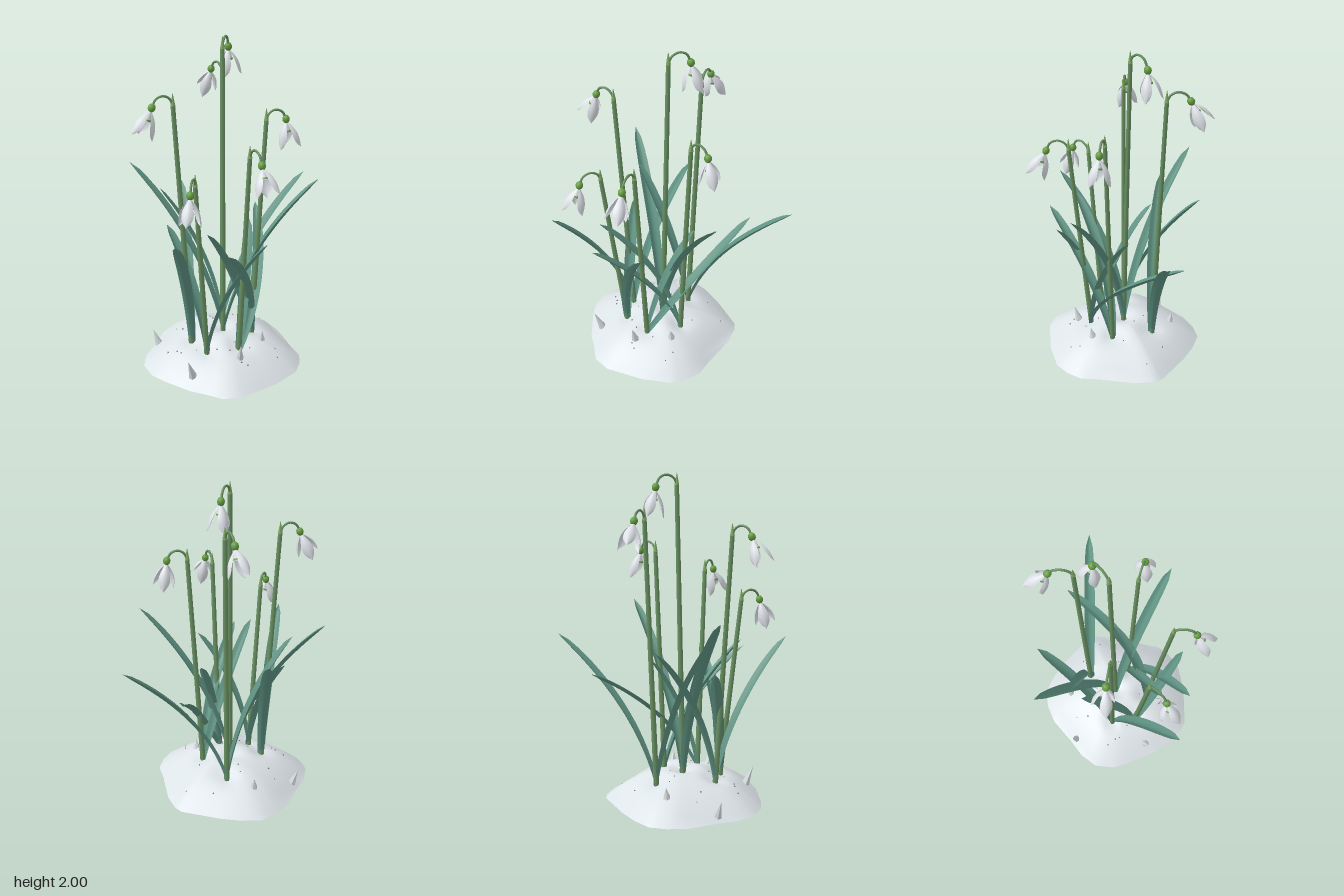
import * as THREE from 'three';

const V = (x, y, z) => new THREE.Vector3(x, y, z);
const material = (name, color, side = THREE.FrontSide) => {
  const m = new THREE.MeshStandardMaterial({ color, side });
  m.name = name;
  return m;
};

// ground outline (x, z)
const centre = [-0.07, 0.02];
const outline = [
  [0.01, -0.47], [0.12, -0.45], [0.21, -0.365], [0.29, -0.255], [0.41, -0.04], [0.41, 0.02], [0.37, 0.13],
  [0.245, 0.32], [0.19, 0.42], [0.11, 0.475], [0.01, 0.51], [-0.17, 0.49], [-0.4, 0.415], [-0.485, 0.335],
  [-0.515, 0.21], [-0.54, 0.13], [-0.556, -0.07], [-0.55, -0.17], [-0.5, -0.28], [-0.4, -0.35], [-0.28, -0.39],
  [-0.11, -0.46],
];

// base (x, z), stem tip, seed ball, flower tilt, flower turn, leaf tips with sideways bow
const plants = [
  { base: [-0.27, -0.08], tip: [-0.35, 1.72, -0.12], ball: [-0.457, 1.65, -0.18], tilt: 0.42, turn: 0.4,
    leaves: [[0.08, 1.03, -0.44, 0], [-0.71, 1.0, 0.185, 0]] },
  { base: [-0.3, 0.065], tip: [-0.42, 1.31, 0.09], ball: [-0.535, 1.235, 0.15], tilt: 0.3, turn: 1.0,
    leaves: [[-0.255, 0.87, -0.275, 0], [-0.17, 0.89, 0.41, 0.03]] },
  { base: [-0.16, 0.2], tip: [-0.2, 1.46, 0.3], ball: [-0.256, 1.385, 0.42], tilt: 0.45, turn: 0.2,
    leaves: [[0.13, 0.87, 0.06, 0.02], [0.475, 0.83, -0.14, 0.1]] },
  { base: [-0.07, 0.01], tip: [-0.03, 2.0, -0.02], ball: [0.09, 1.92, -0.07], tilt: 0.15, turn: 0.7,
    leaves: [[-0.275, 1.22, -0.55, 0], [0.26, 1.18, 0.47, 0]] },
  { base: [0.09, -0.12], tip: [0.15, 1.81, -0.16], ball: [0.2, 1.745, -0.285], tilt: 0.5, turn: 1.0,
    leaves: [[-0.245, 1.09, -0.335, -0.02], [0.705, 1.03, 0.09, 0]] },
  { base: [0.05, 0.14], tip: [0.105, 1.59, 0.195], ball: [0.2, 1.52, 0.268], tilt: 0.15, turn: 0.3,
    leaves: [[-0.43, 0.98, 0.18, 0.04], [-0.455, 0.9, 0.35, -0.02]] },
];

// relative distance from the centre to the outline
function reach(x, z) {
  let s = 0;
  outline.forEach((a, i) => {
    const b = outline[(i + 1) % outline.length];
    const nx = b[1] - a[1], nz = a[0] - b[0];
    s = Math.max(s, (nx * (x - centre[0]) + nz * (z - centre[1])) / (nx * (a[0] - centre[0]) + nz * (a[1] - centre[1])));
  });
  return Math.min(s, 1);
}

// dome height with a soft hollow around each clump
function groundY(x, z) {
  const s = reach(x, z);
  let y = 0.195 * (1 - Math.pow(s, 2.1));
  for (const { base: [bx, bz] } of plants) {
    y -= 0.042 * (1 - s * s) * Math.exp(-((x - bx) ** 2 + (z - bz) ** 2) / 0.004);
  }
  return Math.max(0, y);
}

// indexed surface with smooth normals
function surface(pos, index) {
  const g = new THREE.BufferGeometry();
  g.setAttribute('position', new THREE.Float32BufferAttribute(pos, 3));
  g.setIndex(index);
  g.computeVertexNormals();
  return g;
}

// surface from a rule: point(u, v), u and v in 0..1
function loft(rows, cols, point) {
  const pos = [], index = [];
  for (let i = 0; i <= rows; i++) {
    for (let j = 0; j <= cols; j++) {
      pos.push(...point(i / rows, j / cols).toArray());
      if (i < rows && j < cols) {
        const a = i * (cols + 1) + j, b = a + cols + 1;
        index.push(a, b, a + 1, a + 1, b, b + 1);
      }
    }
  }
  return surface(pos, index);
}

// rings shrinking from the outline to the centre
function moundGeometry() {
  const rings = 14, n = outline.length * 2, pos = [], index = [];
  for (let r = 0; r <= rings; r++) {
    for (let k = 0; k < n; k++) {
      const a = outline[k >> 1], b = outline[((k >> 1) + 1) % outline.length], f = (k % 2) / 2, s = r / rings;
      const x = centre[0] + s * (a[0] + (b[0] - a[0]) * f - centre[0]);
      const z = centre[1] + s * (a[1] + (b[1] - a[1]) * f - centre[1]);
      pos.push(x, groundY(x, z), z);
      if (r < rings) {
        const p = r * n + k, q = r * n + (k + 1) % n;
        index.push(p, p + n, q, q, p + n, q + n);
      }
    }
  }
  return surface(pos, index);
}

// arching strap leaf with a channelled section
function leafGeometry(base, tip, bow) {
  const out = V(tip.x - base.x, 0, tip.z - base.z);
  const side = V(-out.z, 0, out.x).normalize();
  const control = base.clone().addScaledVector(out, 0.2).addScaledVector(side, bow * 1.5);
  control.y = base.y + (tip.y - base.y) * 0.56;
  const curve = new THREE.QuadraticBezierCurve3(base, control, tip);
  return loft(18, 4, (u, v) => {
    const w = (0.02 + 0.015 * Math.sin(Math.PI * Math.min(u * 0.75, 0.5))) * Math.sqrt(Math.max(0, 1 - Math.pow(u, 8)));
    const k = v * 2 - 1;
    const normal = side.clone().cross(curve.getTangent(u)).normalize();
    if (normal.y < 0) normal.negate();
    return curve.getPoint(u).addScaledVector(side, k * w).addScaledVector(normal, (Math.abs(k) - 0.4) * w * 0.65);
  });
}

export function createModel() {
  const model = new THREE.Group();
  const snow = material('snow', 0xdfe6ea, THREE.DoubleSide);
  const leafGreen = material('leaf green', 0x5f9383, THREE.DoubleSide);
  const stemGreen = material('stem green', 0x6a9263);
  const sheathGreen = material('sheath green', 0x82ab66);
  const seedGreen = material('seed green', 0x68a044);
  const petalWhite = material('petal white', 0xe6eaf0, THREE.DoubleSide);
  const iceGrey = material('ice grey', 0xd6dce0);
  iceGrey.flatShading = true;
  const speckGrey = material('speck grey', 0x7c8183);

  const add = (parent, name, geometry, mat, position) => {
    const mesh = new THREE.Mesh(geometry, mat);
    mesh.name = name;
    if (position) mesh.position.copy(position);
    parent.add(mesh);
    return mesh;
  };
  // tapered rod between two points
  const rod = (parent, name, a, b, r0, r1, mat, sides = 8) => {
    const geometry = new THREE.CylinderGeometry(r1, r0, a.distanceTo(b), sides);
    const mesh = add(parent, name, geometry, mat, a.clone().lerp(b, 0.5));
    mesh.quaternion.setFromUnitVectors(V(0, 1, 0), b.clone().sub(a).normalize());
  };

  add(model, 'snowMound', moundGeometry(), snow);

  // spoon-shaped petal hanging along -y
  const petal = loft(10, 6, (u, v) => {
    const k = v * 2 - 1, w = 0.004 + 0.03 * Math.pow(Math.sin(Math.PI * Math.pow(u, 1.4)), 0.8) * (u < 1 ? 1 : 0);
    return V(k * w, -0.175 * u + 0.008 * k * k * u, 0.02 * Math.sin(Math.PI * u) - 0.5 * w * k * k);
  });
  const innerCup = new THREE.CylinderGeometry(0.01, 0.022, 0.06, 10, 1, true);
  const cupRim = new THREE.CylinderGeometry(0.0205, 0.0235, 0.01, 10, 1, true);

  for (const p of plants) {
    const plant = new THREE.Group();
    plant.name = 'plant';
    model.add(plant);
    const [bx, bz] = p.base, ground = groundY(bx, bz);
    const foot = V(bx, ground - 0.02, bz), tip = V(...p.tip), ball = V(...p.ball);

    // stem, pointed sheath and nodding stalk
    const neck = tip.clone().setY(tip.y - 0.07);
    rod(plant, 'stem', foot, neck, 0.017, 0.013, stemGreen);
    rod(plant, 'sheath', neck, tip, 0.014, 0.001, sheathGreen);
    const out = V(ball.x - tip.x, 0, ball.z - tip.z);
    const rise = (f, y) => tip.clone().addScaledVector(out, f).setY(y);
    const arch = new THREE.CatmullRomCurve3([
      neck, rise(0.14, tip.y - 0.03), rise(0.45, tip.y - 0.01), rise(0.8, tip.y - 0.025), ball,
    ]);
    add(plant, 'stalk', new THREE.TubeGeometry(arch, 16, 0.007, 6), stemGreen);

    // flower
    const flower = new THREE.Group();
    flower.name = 'flower';
    flower.position.copy(ball);
    const axis = out.clone().normalize().multiplyScalar(Math.sin(p.tilt)).setY(-Math.cos(p.tilt));
    flower.quaternion.setFromUnitVectors(V(0, -1, 0), axis);
    plant.add(flower);
    add(flower, 'seedBall', new THREE.SphereGeometry(0.022, 12, 8), seedGreen).scale.y = 1.15;
    add(flower, 'innerCup', innerCup, petalWhite, V(0, -0.047, 0));
    add(flower, 'cupRim', cupRim, seedGreen, V(0, -0.07, 0));
    for (let i = 0; i < 3; i++) {
      const m = add(flower, 'petal', petal, petalWhite, V(0, -0.012, 0));
      m.rotation.set(-0.42, p.turn + (i * Math.PI * 2) / 3, 0, 'YXZ');
    }

    // leaves
    for (const [x, y, z, bow] of p.leaves) {
      add(plant, 'leaf', leafGeometry(V(bx, ground - 0.01, bz), V(x, y, z), bow), leafGreen);
    }
  }

  // leaning ice shards: x, z, lean x, lean z, height
  const shards = [
    [-0.465, 0.09, -0.45, 0.05, 0.11], [-0.28, -0.345, -0.2, -0.35, 0.09], [0.02, -0.285, 0.1, -0.2, 0.06],
    [0, 0.255, -0.1, 0.2, 0.06], [-0.23, 0.26, -0.2, 0.25, 0.09],
  ];
  for (const [x, z, lx, lz, h] of shards) {
    const y = groundY(x, z);
    rod(model, 'shard', V(x, y - 0.015, z), V(x + lx * h, y + h, z + lz * h), 0.027, 0.001, iceGrey, 6);
  }

  // scattered specks from a small seeded generator
  let seed = 7;
  const random = () => (seed = (seed * 16807) % 2147483647) / 2147483647;
  for (let i = 0; i < 22; i++) {
    const angle = random() * Math.PI * 2, r = 0.4 * Math.sqrt(random());
    const x = centre[0] + r * Math.cos(angle), z = centre[1] + r * Math.sin(angle);
    add(model, 'speck', new THREE.IcosahedronGeometry(0.003 + 0.003 * random(), 0), speckGrey, V(x, groundY(x, z) + 0.002, z));
  }
  return model;
}
